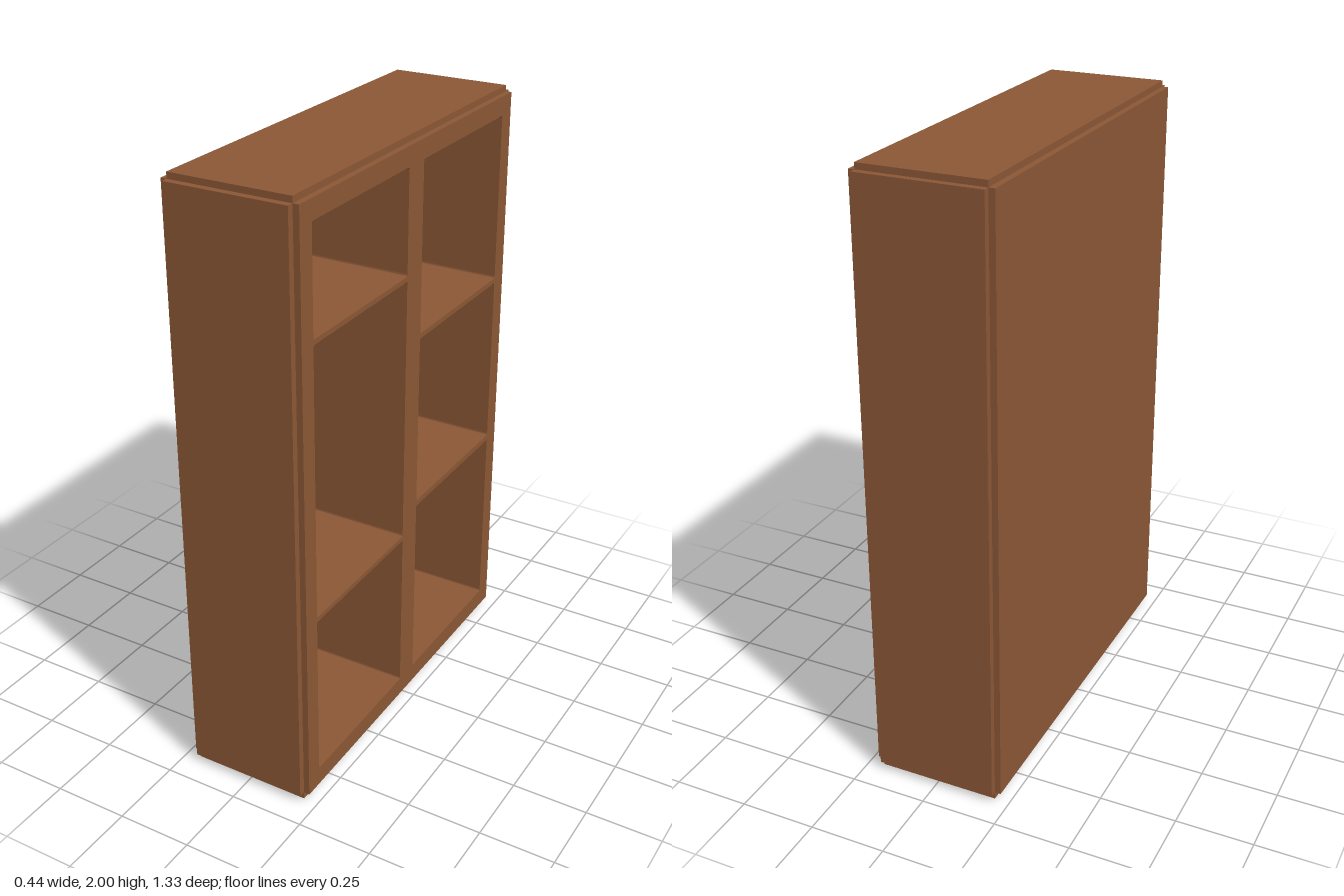
import * as THREE from 'three';

const wood = new THREE.MeshStandardMaterial({ color: 0x8b5735 });
wood.name = 'brown wood';

// Outer planes and the inner planes that form the stepped edges
const X = 0.22, XI = 0.2, Z = 0.665, ZI = 0.643;
const Y0 = 0.025, Y1 = 1.98, TOP = 2;

// Compartments: z range, then the y range of each opening
const columns = [
  { z: [0.047, 0.583], rows: [[0.088, 0.65], [0.666, 1.562], [1.578, 1.917]] },
  { z: [-0.581, -0.044], rows: [[0.088, 0.736], [0.756, 1.34], [1.357, 1.917]] },
];

// Slightly rounded rectangular hole; the drawing plane is (-z, y)
function opening([za, zb], [a, b], r = 0.008) {
  const l = -zb, t = -za, p = new THREE.Path();
  p.moveTo(l + r, a);
  p.lineTo(t - r, a).quadraticCurveTo(t, a, t, a + r);
  p.lineTo(t, b - r).quadraticCurveTo(t, b, t - r, b);
  p.lineTo(l + r, b).quadraticCurveTo(l, b, l, b - r);
  p.lineTo(l, a + r).quadraticCurveTo(l, a, l + r, a);
  return p;
}

// Extrudes an outline with all compartments cut out, from x0 to x1
function pierced(name, outline, x0, x1) {
  const shape = new THREE.Shape(outline.map(([u, v]) => new THREE.Vector2(u, v)));
  for (const c of columns) for (const row of c.rows) shape.holes.push(opening(c.z, row));
  const geo = new THREE.ExtrudeGeometry(shape, { depth: x1 - x0, bevelEnabled: false, curveSegments: 3 });
  geo.rotateY(Math.PI / 2).translate(x0, 0, 0);
  const mesh = new THREE.Mesh(geo, wood);
  mesh.name = name;
  return mesh;
}

export function createModel() {
  const group = new THREE.Group();
  group.name = 'bookcase';

  // Carcass with shelves, notched along its four long edges
  group.add(pierced('carcassAndShelves', [
    [-ZI, 0], [ZI, 0], [ZI, Y0], [Z, Y0], [Z, Y1], [ZI, Y1],
    [ZI, TOP], [-ZI, TOP], [-ZI, Y1], [-Z, Y1], [-Z, Y0], [-ZI, Y0],
  ], -XI, XI));

  // Raised frame around the openings
  group.add(pierced('faceFrame', [[-ZI, Y0], [ZI, Y0], [ZI, Y1], [-ZI, Y1]], XI, X));

  // Closed back
  const back = new THREE.Mesh(new THREE.BoxGeometry(X - XI, Y1 - Y0, 2 * ZI), wood);
  back.position.set(-(X + XI) / 2, (Y0 + Y1) / 2, 0);
  back.name = 'backPanel';
  group.add(back);

  return group;
}
